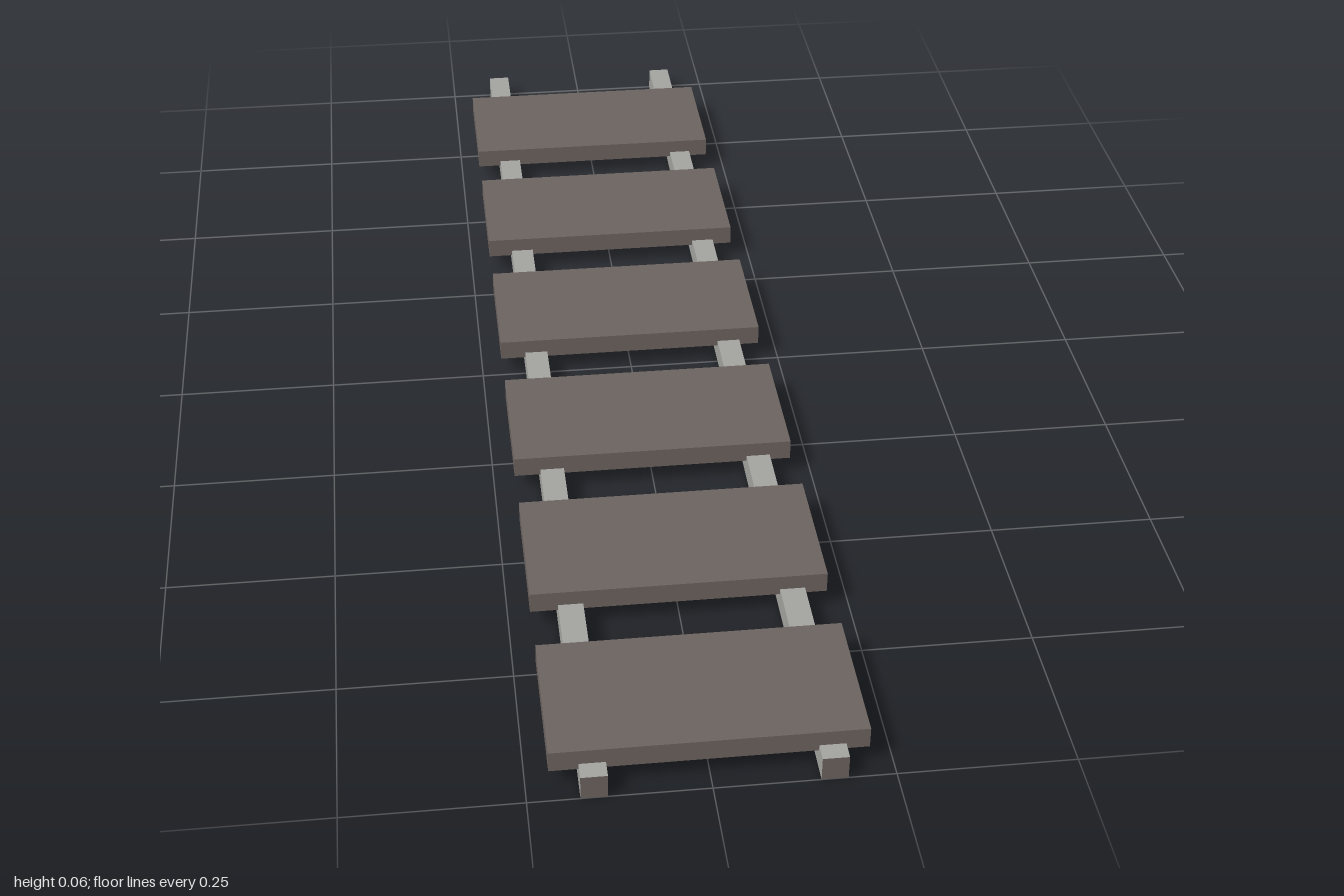
import * as THREE from 'three';

export function createModel() {
  const group = new THREE.Group();
  const plankWood = new THREE.MeshStandardMaterial({ color: 0x6b625e });
  plankWood.name = 'plankBrown';
  const railGrey = new THREE.MeshStandardMaterial({ color: 0xa2a29f });
  railGrey.name = 'railGrey';

  const addBox = (name, size, position, material) => {
    const mesh = new THREE.Mesh(new THREE.BoxGeometry(...size), material);
    mesh.name = name;
    mesh.position.set(...position);
    group.add(mesh);
  };

  // Two long rails: grey along the sides, brown on the sawn ends
  const railFaces = [railGrey, railGrey, railGrey, railGrey, plankWood, plankWood];
  addBox('leftRail', [0.037, 0.0375, 2], [0.1655, 0.01875, 0], railFaces);
  addBox('rightRail', [0.037, 0.0375, 2], [-0.1595, 0.01875, 0], railFaces);

  // Six evenly spaced planks, let slightly into the rails
  for (let i = 0; i < 6; i++) {
    addBox(`plank${i + 1}`, [0.435, 0.032, 0.217], [-0.001, 0.0445, 0.865 - i * 0.3265], plankWood);
  }
  return group;
}
